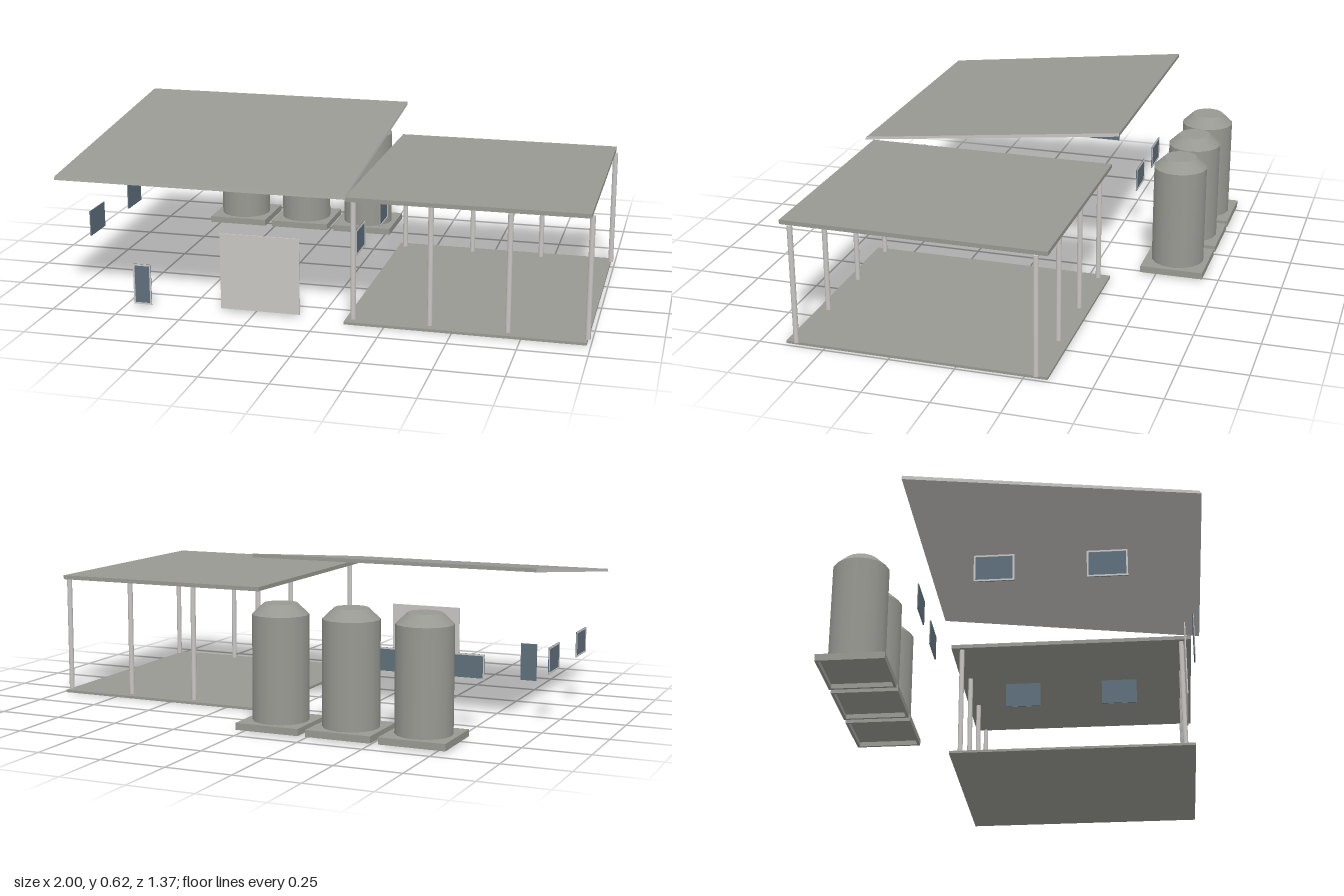
import * as THREE from 'three';

const mat = (name, color) => new THREE.MeshStandardMaterial({ name, color });

export function createModel() {
  const model = new THREE.Group();
  model.name = 'openShedWithTanks';
  const grey = mat('weatheredGrey', 0x999993);
  const light = mat('paleGrey', 0xc8c6c3);
  const glass = mat('blueGlass', 0x5f6f7c);

  const add = (name, geometry, material, x, y, z, parent = model) => {
    const mesh = new THREE.Mesh(geometry, material);
    mesh.name = name;
    mesh.position.set(x, y, z);
    parent.add(mesh);
    return mesh;
  };
  // Box given by its lower and upper limits
  const block = (name, material, x0, x1, y0, y1, z0, z1, parent) =>
    add(name, new THREE.BoxGeometry(x1 - x0, y1 - y0, z1 - z0), material,
      (x0 + x1) / 2, (y0 + y1) / 2, (z0 + z1) / 2, parent);
  // Flat rectangular ring, lying in the xy plane
  const ring = (w, h, border, depth) => {
    const rect = (Type, a, b) => new Type([[-a, -b], [a, -b], [a, b], [-a, b]]
      .map(([x, y]) => new THREE.Vector2(x, y)));
    const shape = rect(THREE.Shape, w / 2, h / 2);
    shape.holes.push(rect(THREE.Path, w / 2 - border, h / 2 - border));
    return new THREE.ExtrudeGeometry(shape, { depth, bevelEnabled: false });
  };

  // Open carport: floor, flat roof and two rows of round posts
  block('carportFloor', grey, 0.1, 0.985, 0, 0.01, -0.335, 0.65);
  block('carportRoof', grey, 0.105, 0.985, 0.467, 0.483, -0.335, 0.65);
  const postGeometry = new THREE.CylinderGeometry(0.01, 0.01, 0.457, 12);
  for (const z of [0.61, -0.293]) {
    for (let i = 0; i < 4; i++) {
      add('post', postGeometry, light, 0.127 + i * 0.286, 0.2385, z);
    }
  }

  // Sloping roof: a box whose corners are moved to the pitched profile
  const roof = new THREE.BoxGeometry(1.115, 1, 1);
  const p = roof.attributes.position;
  for (let i = 0; i < p.count; i++) {
    const top = p.getY(i) > 0;
    if (p.getZ(i) > 0) {
      p.setY(i, top ? 0.496 : 0.484);
      p.setZ(i, top ? 0.676 : 0.684);
    } else {
      p.setY(i, top ? 0.615 : 0.601);
      p.setZ(i, -0.364);
    }
  }
  roof.computeVertexNormals();
  add('slopingRoof', roof, [light, light, grey, light, grey, grey], -0.4425, 0, 0);

  // Wall openings: a thin pane with a pale frame on the outer side
  const opening = (name, w, h, x, y, z, turn) => {
    const group = new THREE.Group();
    group.name = name;
    add(name + 'Pane', new THREE.BoxGeometry(w, h, 0.003), glass, 0, 0, 0, group);
    add(name + 'Frame', ring(w, h, 0.006, 0.002), light, 0, 0, 0.0015, group);
    group.position.set(x, y, z);
    group.rotation.y = turn;
    model.add(group);
  };
  for (const z of [0.353, -0.035]) {
    opening('rightWallWindow', 0.14, 0.1, 0.09, 0.239, z, Math.PI / 2);
    opening('leftWallWindow', 0.14, 0.1, -0.978, 0.239, z, -Math.PI / 2);
  }
  for (const x of [-0.733, -0.443]) {
    opening('backWindow', 0.14, 0.095, x, 0.239, -0.325, Math.PI);
  }
  opening('frontDoor', 0.07, 0.157, -0.682, 0.087, 0.64, 0);
  block('garageDoor', light, -0.38, -0.075, 0.01, 0.303, 0.615, 0.619);

  // Three tanks on hollow square plinths
  for (const x of [-0.66, -0.38, -0.1]) {
    const tank = new THREE.Group();
    tank.name = 'tank';
    tank.position.set(x, 0, -0.564);
    model.add(tank);
    block('plinthTop', grey, -0.125, 0.125, 0.025, 0.033, -0.125, 0.125, tank);
    add('plinthRim', ring(0.25, 0.25, 0.01, 0.018), grey, 0, 0.025, 0, tank)
      .rotation.x = Math.PI / 2;
    add('tankBody', new THREE.CylinderGeometry(0.105, 0.105, 0.393, 16, 1, true),
      grey, 0, 0.2295, 0, tank);
    add('tankShoulder', new THREE.CylinderGeometry(0.063, 0.105, 0.04, 16),
      grey, 0, 0.446, 0, tank);
  }
  return model;
}
